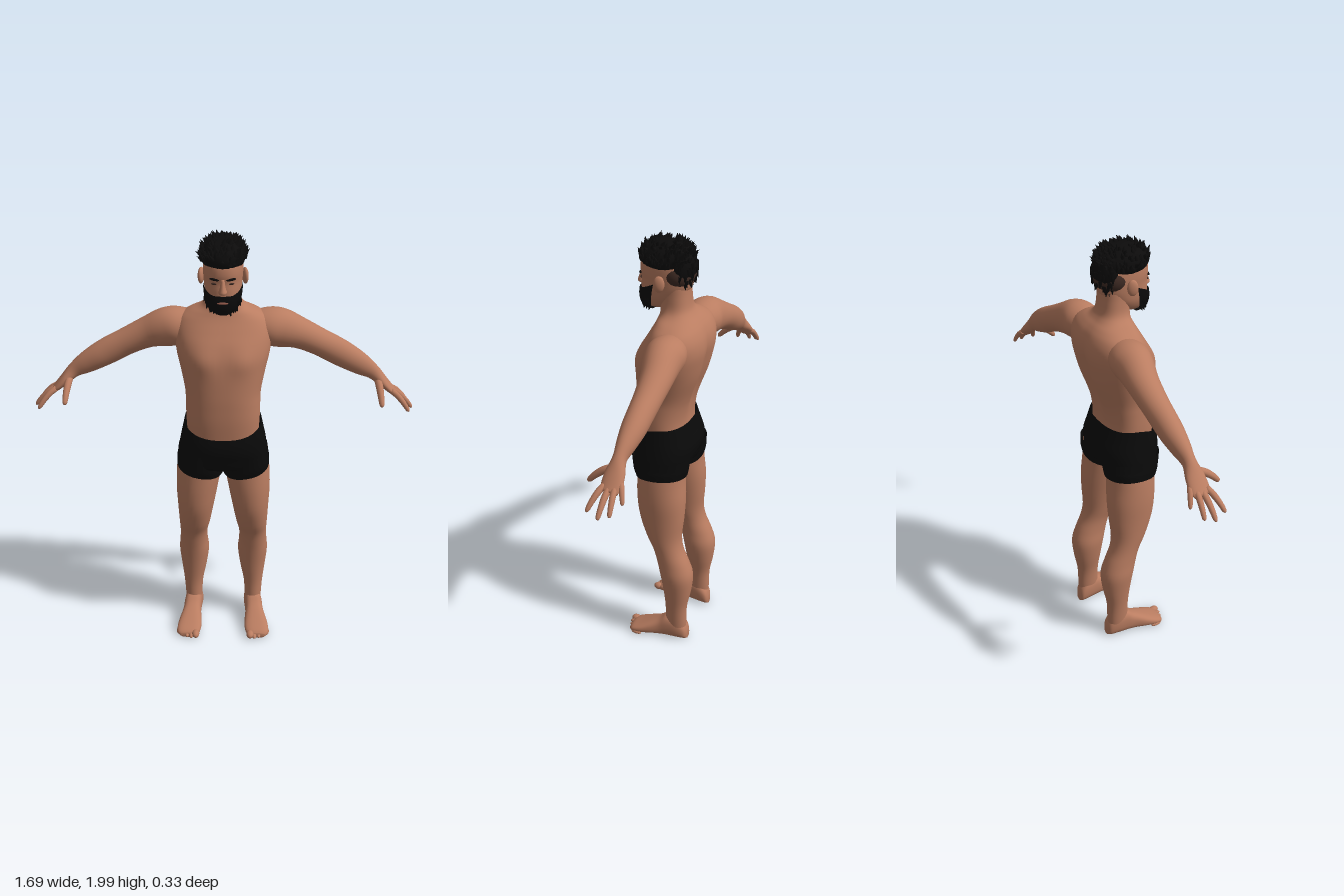
import * as THREE from 'three';
import { mergeGeometries } from 'three/addons/utils/BufferGeometryUtils.js';

const X = new THREE.Vector3(1, 0, 0), Y = new THREE.Vector3(0, 1, 0), Z = new THREE.Vector3(0, 0, 1);

function material(name, color, side = THREE.FrontSide) {
  const m = new THREE.MeshStandardMaterial({ color, side });
  m.name = name;
  return m;
}

// Smooth loft through rows [x, y, z, radius along e1, radius along e2]
function loft(rows, { e1 = X, tangent = null, power = 2, ring = 28, steps = 4, arc = null, capStart = true, capEnd = true, shape = null } = {}) {
  const curve = (f) => new THREE.CatmullRomCurve3(rows.map(f), false, 'catmullrom', 0.5);
  const path = curve((r) => new THREE.Vector3(r[0], r[1], r[2]));
  const size = curve((r) => new THREE.Vector3(r[3], r[4], 0));
  const n = (rows.length - 1) * steps, cols = arc ? ring + 1 : ring;
  const pos = [], index = [];
  const bend = (c) => Math.sign(c) * Math.pow(Math.abs(c), 2 / power);
  const put = (v) => { if (shape) shape(v); pos.push(v.x, v.y, v.z); };
  for (let j = 0; j <= n; j++) {
    const c = path.getPoint(j / n), s = size.getPoint(j / n);
    const t = tangent || path.getTangent(j / n);
    const a = e1.clone().addScaledVector(t, -e1.dot(t)).normalize();
    const b = a.clone().cross(t);
    for (let i = 0; i < cols; i++) {
      const ang = arc ? arc[0] + (arc[1] - arc[0]) * i / ring : i / ring * Math.PI * 2;
      put(c.clone().addScaledVector(a, s.x * bend(Math.cos(ang))).addScaledVector(b, s.y * bend(Math.sin(ang))));
    }
  }
  for (let j = 0; j < n; j++) for (let i = 0; i < ring; i++) {
    const k = (i + 1) % cols, p = j * cols, q = p + cols;
    index.push(p + i, q + i, p + k, q + i, q + k, p + k);
  }
  const cap = (j, end) => {
    const m = pos.length / 3;
    put(path.getPoint(j / n));
    for (let i = 0; i < ring; i++) {
      const a = j * cols + i, b = j * cols + (i + 1) % cols;
      end ? index.push(a, m, b) : index.push(a, b, m);
    }
  };
  if (capStart) cap(0, false);
  if (capEnd) cap(n, true);
  const g = new THREE.BufferGeometry();
  g.setAttribute('position', new THREE.Float32BufferAttribute(pos, 3));
  g.setIndex(index);
  g.computeVertexNormals();
  return g;
}

// Upright loft through rows [y, half width, back z, front z, centre x]
const upright = (rows, options = {}) => loft(
  rows.map(([y, w, zb, zf, cx = 0]) => [cx, y, (zb + zf) / 2, w, (zf - zb) / 2]), { tangent: Y, ...options });

function ellipsoid(x, y, z, rx, ry, rz) {
  return new THREE.SphereGeometry(1, 24, 16).scale(rx, ry, rz).translate(x, y, z);
}

export function createModel() {
  const model = new THREE.Group();
  const skin = material('skin', 0xba7d61);
  const cloth = material('black cloth', 0x0a0a0a, THREE.DoubleSide);
  const hairMat = material('black hair', 0x0c0b0b, THREE.DoubleSide);
  const fade = material('shaved hair', 0x3f2b24);
  const lipMat = material('lips', 0x8c5547);
  const add = (name, geometry, mat, parent = model) => {
    const mesh = new THREE.Mesh(geometry, mat);
    mesh.name = name;
    parent.add(mesh);
    return mesh;
  };
  const bell = (d, w) => Math.exp(-((d / w) ** 2));
  let seed = 7;
  const random = () => (seed = (seed * 16807) % 2147483647) / 2147483647;

  // Torso and neck, with chest muscles and a spine groove
  add('torso', upright([
    [1.0, .15, -.08, .13], [1.1, .158, -.082, .14], [1.18, .162, -.08, .147], [1.25, .163, -.09, .149],
    [1.31, .166, -.108, .149], [1.4, .184, -.14, .145], [1.47, .2, -.157, .135], [1.53, .207, -.166, .115],
    [1.58, .205, -.161, .088], [1.62, .185, -.145, .065], [1.648, .145, -.124, .052], [1.672, .098, -.1, .046],
    [1.7, .077, -.084, .048], [1.75, .071, -.077, .05], [1.8, .07, -.075, .05],
  ], {
    power: 2.35, ring: 56, steps: 5,
    shape: (v) => {
      if (v.z > 0) v.z += .012 * bell(v.y - 1.47, .06) * bell(Math.abs(v.x) - .085, .055);
      else v.z += .02 * bell(v.x, .028) * bell(v.y - 1.4, .17);
    },
  }), skin);

  // Trunks: hip section with a dipped front rim, and two short legs
  const trunks = new THREE.Group();
  trunks.name = 'trunks';
  model.add(trunks);
  add('trunksHips', upright([
    [.925, .13, -.06, .1], [.95, .198, -.1, .14], [1.0, .2, -.118, .155], [1.06, .191, -.124, .166],
    [1.12, .179, -.106, .166], [1.17, .169, -.09, .158],
  ], {
    power: 2.4, ring: 48, capEnd: false,
    shape: (v) => {
      if (v.y > 1) v.y -= (v.y - 1) / .17 * .055 * Math.max(0, v.z / .15) ** 1.5;
      else if (v.z < 0) v.z += .012 * bell(v.x, .03);
    },
  }), cloth, trunks);

  for (const s of [1, -1]) {
    const side = s > 0 ? 'left' : 'right';
    add(side + 'TrunksLeg', upright([
      [.91, .105, -.104, .127, s * .104], [.95, .105, -.112, .14, s * .103], [1.02, .1, -.115, .15, s * .1],
    ], {
      power: 2.2, capStart: false, capEnd: false,
      shape: (v) => { if (v.y < .96) v.y += (Math.abs(v.x) - .1) * .18 - v.z * .1; },
    }), cloth, trunks);

    // Leg from ankle to hip
    add(side + 'Leg', upright([
      [.03, .036, -.125, -.035, s * .147], [.1, .04, -.13, -.028, s * .147], [.2, .046, -.132, -.027, s * .147],
      [.3, .061, -.15, -.015, s * .143], [.39, .071, -.157, 0, s * .142], [.46, .066, -.137, .015, s * .142],
      [.53, .065, -.107, .035, s * .14], [.6, .073, -.096, .07, s * .134], [.7, .084, -.104, .105, s * .127],
      [.8, .095, -.107, .118, s * .12], [.9, .101, -.1, .12, s * .11], [1.0, .098, -.1, .12, s * .103],
    ], { ring: 32, power: 2.1 }), skin);

    // Foot, turned out a little, with five toes
    const foot = new THREE.Group();
    foot.name = side + 'Foot';
    model.add(foot);
    add('footBody', loft([
      [-.138, .018, .04, .045], [-.125, .034, .045, .085], [-.09, .042, .047, .125], [-.04, .043, .047, .13],
      [0, .044, .045, .1], [.05, .053, .045, .074], [.095, .058, .05, .052], [.13, .052, .04, .036], [.145, .035, .02, .024],
    ].map(([z, w, , h]) => [s * (.149 + (z + .05) * .11), h / 2 + .004, z, w, h / 2]),
    { tangent: Z, power: 2.5 }), skin, foot);
    for (let i = 0; i < 5; i++) {
      const r = i ? .0125 - i * .0007 : .018;
      add('toe', ellipsoid(s * (.133 + i * .021), r + .004, .14 - i * i * .0022, r, r, .026), skin, foot);
    }

    // Arm from shoulder to knuckles
    const arm = new THREE.Group();
    arm.name = side + 'Arm';
    model.add(arm);
    const limb = (name, rows, options) => add(name, loft(
      rows.map(([x, ...rest]) => [s * x, ...rest]), { e1: Z, ...options }), skin, arm);
    limb('armAndPalm', [
      [.1, 1.56, -.05, .06, .06], [.19, 1.562, -.053, .085, .082], [.25, 1.552, -.058, .079, .085], [.33, 1.523, -.07, .067, .068],
      [.42, 1.48, -.073, .058, .06], [.49, 1.443, -.072, .053, .06], [.55, 1.41, -.07, .049, .056],
      [.61, 1.375, -.067, .038, .047], [.66, 1.343, -.065, .028, .033], [.7, 1.305, -.065, .041, .024],
      [.735, 1.27, -.066, .044, .018], [.76, 1.248, -.064, .036, .013],
    ]);
    const fingers = [
      ['littleFinger', [.72, 1.28, -.098], [.768, 1.212, -.125], .0105],
      ['ringFinger', [.742, 1.265, -.083], [.826, 1.185, -.097], .0115],
      ['middleFinger', [.748, 1.26, -.06], [.843, 1.174, -.055], .012],
      ['indexFinger', [.742, 1.265, -.038], [.822, 1.182, .002], .012],
      ['thumb', [.682, 1.31, -.045], [.694, 1.23, .058], .0145],
    ];
    for (const [name, a, b, r] of fingers) {
      limb(name, [[0, 1.1], [.35, 1.1], [.7, .95], [.93, .75], [1, .3]].map(([t, k]) =>
        [...a.map((v, i) => v + (b[i] - v) * t + (i === 1 ? .012 * Math.sin(Math.PI * t) : 0)), r * k, r * k]), { ring: 12, steps: 3 });
    }
  }

  // Head with ears, nose, eyes and brows
  const head = new THREE.Group();
  head.name = 'head';
  model.add(head);
  add('skull', upright([
    [1.685, .03, .03, .11], [1.705, .055, -.01, .126], [1.74, .072, -.045, .134], [1.78, .078, -.077, .136],
    [1.815, .081, -.087, .134], [1.85, .083, -.09, .139], [1.89, .081, -.088, .134], [1.93, .068, -.07, .11], [1.955, .03, -.02, .06],
  ], { power: 2.25, ring: 36 }), skin, head);
  add('nose', upright([[1.772, .012, .11, .147], [1.78, .018, .11, .16], [1.8, .012, .11, .155], [1.835, .008, .11, .142]], { ring: 14 }), skin, head);
  for (const s of [1, -1]) {
    add('ear', ellipsoid(0, 0, 0, .012, .035, .023), skin, head).position.set(s * .091, 1.815, .025);
    head.children.at(-1).rotation.y = s * .35;
    add('eye', ellipsoid(s * .033, 1.814, .125, .014, .0045, .006), fade, head);
    const brow = add('eyebrow', ellipsoid(0, 0, 0, .021, .005, .007), hairMat, head);
    brow.position.set(s * .034, 1.833, .13);
    brow.rotation.set(0, s * .3, s * .1);
  }

  // Beard wrapping the jaw, rising to sideburns
  add('beard', upright([
    [1.675, .03, .03, .117], [1.69, .055, .0, .135], [1.71, .07, -.03, .144], [1.74, .08, -.05, .147], [1.766, .083, -.068, .144],
  ], {
    power: 2.25, ring: 36, arc: [.04 * Math.PI, .96 * Math.PI], capEnd: false,
    shape: (v) => { if (v.y > 1.71) v.y += (v.y - 1.71) / .056 * Math.max(0, .135 - v.z) * .5; },
  }), hairMat, head);
  add('mouth', ellipsoid(0, 1.737, .143, .024, .006, .008), lipMat, head);

  // Short shaved sides, top hair and back hair
  add('shavedSides', ellipsoid(0, 1.845, -.022, .084, .072, .075), fade, head);
  add('topHair', ellipsoid(0, 1.905, .028, .093, .07, .118), hairMat, head);
  add('backHair', ellipsoid(0, 1.87, -.043, .076, .09, .056), hairMat, head);

  // Tufts on hair and beard
  const tuft = (p, dir, length, r) => new THREE.ConeGeometry(r, length, 5).translate(0, length / 2, 0)
    .applyQuaternion(new THREE.Quaternion().setFromUnitVectors(Y, dir.normalize())).translate(p.x, p.y, p.z);
  const hairTufts = [], beardTufts = [];
  for (let i = 0; i < 220; i++) {
    const a = random() * Math.PI * 2, h = -.25 + 1.2 * random(), q = Math.sqrt(Math.max(0, 1 - h * h));
    const d = new THREE.Vector3(q * Math.cos(a), h, q * Math.sin(a));
    const p = new THREE.Vector3(d.x * .088, 1.905 + d.y * .066, .028 + d.z * .111);
    const lean = new THREE.Vector3(d.x * .5 + (random() - .5) * .7, .45 + .5 * random(), d.z * .3 - .5 * random());
    hairTufts.push(tuft(p, lean, .022 + .012 * random(), .011));
  }
  for (let i = 0; i < 60; i++) {
    const a = Math.PI * (1.05 + .9 * random()), h = random() * 1.5 - .9, q = Math.sqrt(1 - h * h);
    const d = new THREE.Vector3(q * Math.cos(a), h, q * Math.sin(a));
    hairTufts.push(tuft(new THREE.Vector3(d.x * .072, 1.87 + d.y * .086, -.043 + d.z * .052),
      new THREE.Vector3(d.x * .3, -1, d.z * .35), .03, .01));
  }
  for (let i = 0; i < 110; i++) {
    const a = Math.PI * (.1 + .8 * random()), t = random();
    const w = .05 + .028 * Math.sqrt(t), y = 1.69 + .06 * t;
    if (y > 1.722 && Math.abs(Math.cos(a)) < .4) continue;
    beardTufts.push(tuft(new THREE.Vector3(w * Math.cos(a), y, .055 + (.07 + .014 * t) * Math.sin(a)),
      new THREE.Vector3(Math.cos(a) * .5, -1, Math.sin(a) * .4), .02, .008));
  }
  add('hairTufts', mergeGeometries(hairTufts), hairMat, head);
  add('beardTufts', mergeGeometries(beardTufts), hairMat, head);
  return model;
}
